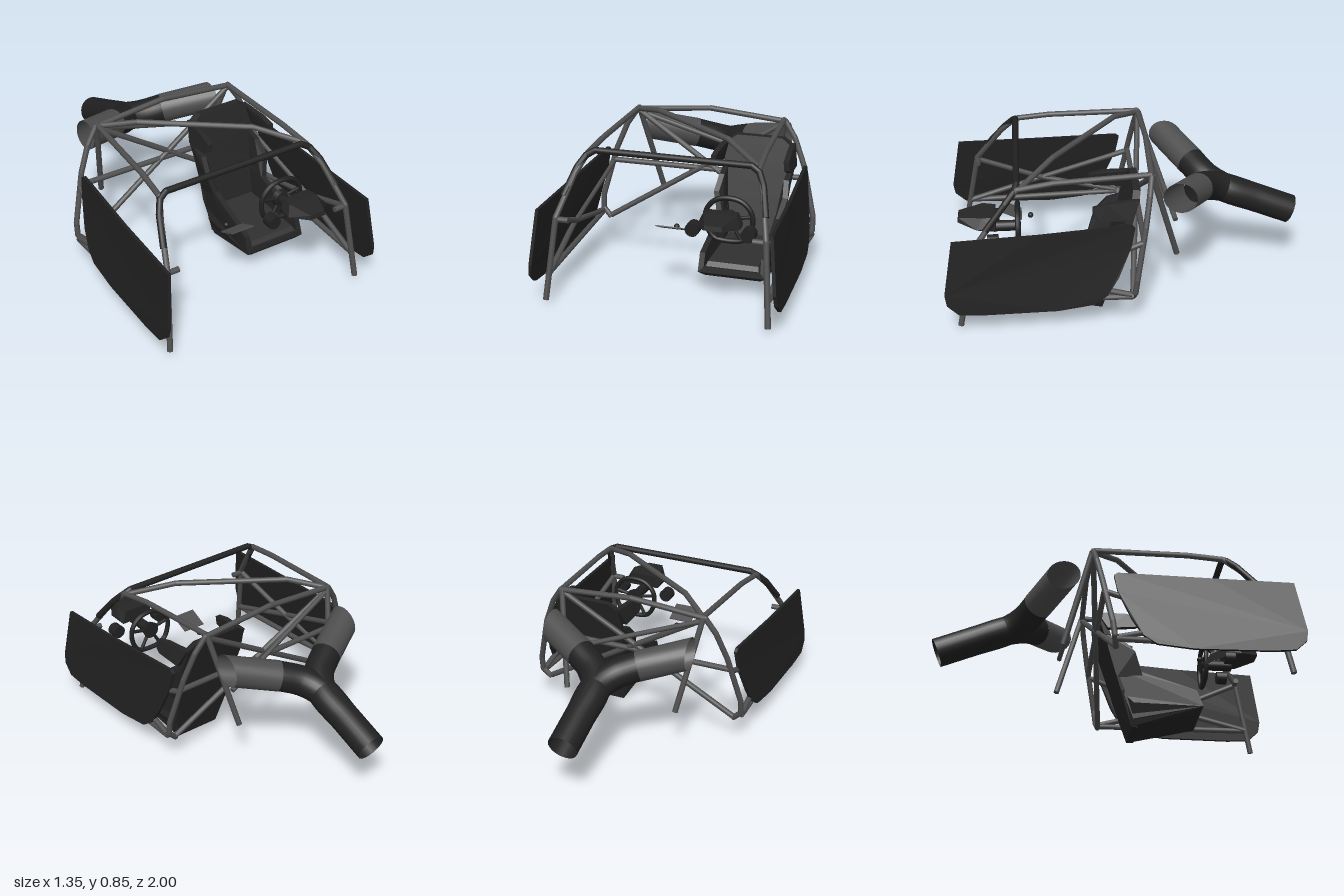
import * as THREE from 'three';
import { ConvexGeometry } from 'three/addons/geometries/ConvexGeometry.js';

const V = (x, y, z) => new THREE.Vector3(x, y, z);

function material(name, color, side = THREE.FrontSide, flatShading = false) {
  const m = new THREE.MeshStandardMaterial({ color, side, flatShading });
  m.name = name;
  return m;
}

export function createModel() {
  const steel = material('steel grey', 0x4e4e4e, THREE.DoubleSide);
  const black = material('black', 0x212121, THREE.DoubleSide);
  const shell = material('seat black', 0x252525, THREE.FrontSide, true);
  const cushionMat = material('cushion grey', 0x303030, THREE.FrontSide, true);
  const model = new THREE.Group();
  model.name = 'raceCarInterior';

  function add(name, geometry, mat, parent = model) {
    const mesh = new THREE.Mesh(geometry, mat);
    mesh.name = name;
    parent.add(mesh);
    return mesh;
  }

  // Straight tube runs with rounded joints
  function bar(name, pts, mat = steel, r = 0.016, parent = model) {
    const g = new THREE.Group();
    g.name = name;
    parent.add(g);
    pts = pts.map((p) => V(...p));
    for (let i = 0; i < pts.length - 1; i++) {
      const d = pts[i + 1].clone().sub(pts[i]);
      const m = add('tube', new THREE.CylinderGeometry(r, r, d.length(), 12), mat, g);
      m.position.copy(pts[i]).addScaledVector(d, 0.5);
      m.quaternion.setFromUnitVectors(V(0, 1, 0), d.normalize());
      if (i > 0) add('joint', new THREE.SphereGeometry(r, 12, 8), mat, g).position.copy(pts[i]);
    }
    return g;
  }
  const mirrorX = (pts) => pts.map(([x, y, z]) => [-x, y, z]);

  // Main hoop with its cross braces
  const hoopSide = [[0.58, 0.15, -0.01], [0.63, 0.2, -0.02], [0.63, 0.28, -0.03],
    [0.56, 0.56, -0.08], [0.5, 0.71, -0.105], [0.44, 0.8, -0.12]];
  bar('mainHoop', [...hoopSide, [0, 0.837, -0.128], ...mirrorX(hoopSide).reverse()]);
  bar('harnessBar', [[-0.57, 0.49, -0.07], [0.57, 0.49, -0.07]]);
  for (const s of [-1, 1]) bar('hoopDiagonal', [[s * 0.43, 0.79, -0.12], [-s * 0.58, 0.16, -0.01]]);
  bar('rearDiagonal', [[-0.42, 0.78, -0.125], [0.37, 0.5, -0.26]], steel, 0.014);
  bar('roofDiagonal', [[-0.43, 0.8, -0.12], [-0.26, 0.848, 0.03], [0.25, 0.842, 0.4], [0.46, 0.77, 0.58]]);

  // Roof rails, front pillars, door bars and rear stays, both sides
  for (const s of [-1, 1]) {
    const side = (pts) => pts.map(([x, y, z]) => [s * x, y, z]);
    bar('roofRail', side([[0.43, 0.808, -0.12], [0.455, 0.79, 0.4], [0.47, 0.765, 0.6],
      [0.515, 0.67, 0.69], [0.57, 0.47, 0.84], [0.608, 0.03, 0.925]]));
    bar('rearStay', side([[0.43, 0.8, -0.125], [0.335, 0.27, -0.275]]));
    bar('doorBar', side([[0.57, 0.46, 0.84], [0.615, 0.3, 0.45], [0.63, 0.19, 0]]));
    bar('doorBar', side([[0.595, 0.17, 0.9], [0.62, 0.3, 0.45], [0.58, 0.48, -0.07]]));
    bar('sillBar', side([[0.6, 0.17, 0.9], [0.63, 0.18, -0.01]]));
    bar('dashStub', side([[0.58, 0.46, 0.835], [0.5, 0.46, 0.835]]));
  }
  const frame = [[0.55, 0.57, 0.77], [0.51, 0.7, 0.665], [0.475, 0.755, 0.615], [0.43, 0.78, 0.6]];
  bar('windscreenBar', [...frame, ...mirrorX(frame).reverse()], black, 0.018);

  // Door panels: leaning, gently bowed plates
  const outline = [[0.95, 0.55], [0.5, 0.565], [0, 0.59], [-0.02, 0.575], [0, 0.47], [0.07, 0.3],
    [0.13, 0.2], [0.2, 0.15], [0.4, 0.125], [0.8, 0.125], [0.93, 0.135], [0.99, 0.19], [1, 0.25]];
  const doorShape = new THREE.Shape(outline.map(([z, y]) => new THREE.Vector2(-z, y)));
  let doorGeo = new THREE.ExtrudeGeometry(doorShape, { depth: 0.018, bevelEnabled: false });
  const dp = doorGeo.attributes.position;
  for (let i = 0; i < dp.count; i++) {
    const z = -dp.getX(i), y = dp.getY(i);
    const bow = 0.645 - 0.1 * (y - 0.13) + 0.03 * (z - 0.5) - (z < 0.05 ? 0.01 : 0);
    dp.setXYZ(i, bow + dp.getZ(i), y, z);
  }
  doorGeo.computeVertexNormals();
  add('leftDoorPanel', doorGeo, black);
  add('rightDoorPanel', doorGeo, black).scale.x = -1;

  // Y-shaped air duct; the arm ends are cut parallel to the side
  for (const s of [-1, 1]) {
    const path = new THREE.CatmullRomCurve3([V(0, 0.345, -0.97), V(0, 0.425, -0.77), V(0, 0.5, -0.58),
      V(s * 0.06, 0.545, -0.48), V(s * 0.18, 0.592, -0.405)]);
    add('ductStem', new THREE.TubeGeometry(path, 28, 0.083, 24), black);
    const a = V(s * 0.17, 0.588, -0.41), b = V(s * 0.42, 0.655, -0.28), dir = b.clone().sub(a).normalize();
    const geo = new THREE.TubeGeometry(new THREE.LineCurve3(a, b), 1, 0.085, 24);
    const p = geo.attributes.position, v = V(0, 0, 0);
    for (let i = p.count / 2; i < p.count; i++) {
      v.fromBufferAttribute(p, i);
      v.addScaledVector(dir, (s * 0.42 - v.x) / dir.x * 0.85);
      p.setXYZ(i, v.x, v.y, v.z);
    }
    geo.computeVertexNormals();
    add('ductArm', geo, steel);
  }

  // Bucket seat, modelled around its own centre line
  const seat = new THREE.Group();
  seat.name = 'bucketSeat';
  seat.position.x = 0.315;
  model.add(seat);
  const backZ = (y) => 0.15 - 0.292 * (y - 0.01);
  const hull = (name, pts, mat = shell) => add(name, new ConvexGeometry(pts.map((p) => V(...p))), mat, seat);
  const pair = (pts) => [...pts, ...mirrorX(pts)];
  hull('seatBase', pair([[0.135, 0.01, 0.15], [0.155, 0.11, 0.55], [0.188, 0.13, 0.565],
    [0.155, 0.16, 0.56], [0.165, 0.19, 0.12], [0.185, 0.14, 0.16]]));
  hull('seatCushion', pair([[0.15, 0.15, 0.555], [0.14, 0.185, 0.53], [0.13, 0.2, 0.14], [0.14, 0.15, 0.14]]), cushionMat);
  // Back in stacked tapering sections
  const rows = [[0.01, 0.135], [0.22, 0.175], [0.4, 0.18], [0.56, 0.205], [0.69, 0.195], [0.73, 0.14]];
  for (let i = 0; i < rows.length - 1; i++) {
    hull('seatBack', pair([rows[i], rows[i + 1]].flatMap(([y, w]) =>
      [[w, y, backZ(y)], [w - 0.01, y, backZ(y) + 0.04]])));
  }
  // Thigh, torso and head bolsters
  for (const s of [-1, 1]) {
    const bolster = (name, pts) => hull(name, pts.flatMap(([y, z, w]) => [[s * w, y, z], [s * (w - 0.03), y, z]]));
    bolster('thighBolster', [[0.13, 0.565, 0.188], [0.23, 0.53, 0.185], [0.34, 0.2, 0.175],
      [0.36, backZ(0.36), 0.175], [0.05, 0.16, 0.16]]);
    bolster('torsoBolster', [[0.3, backZ(0.3), 0.175], [0.3, 0.22, 0.175], [0.45, 0.17, 0.212],
      [0.53, 0.1, 0.2], [0.56, backZ(0.56), 0.2]]);
    bolster('headBolster', [[0.59, 0.01, 0.225], [0.6, 0.17, 0.23], [0.62, 0.2, 0.225],
      [0.67, 0.2, 0.22], [0.69, 0.12, 0.215], [0.7, backZ(0.7), 0.2]]);
  }

  // Steering wheel: flat-bottomed rim, spokes, hub and column
  const wheel = new THREE.Group();
  wheel.name = 'steeringWheel';
  wheel.position.set(0.31, 0.47, 0.6);
  model.add(wheel);
  const rim = new THREE.CatmullRomCurve3([[0, 0.118], [0.07, 0.103], [0.12, 0.05], [0.128, -0.02],
    [0.105, -0.085], [0.07, -0.115], [-0.07, -0.115], [-0.105, -0.085], [-0.128, -0.02],
    [-0.12, 0.05], [-0.07, 0.103]].map(([x, y]) => V(x, y, 0)), true);
  add('rim', new THREE.TubeGeometry(rim, 48, 0.014, 10, true), black, wheel);
  add('hub', new THREE.CylinderGeometry(0.042, 0.05, 0.03, 20).rotateX(Math.PI / 2), black, wheel);
  for (const [x, y] of [[0.122, 0.025], [-0.122, 0.025], [0.065, -0.112], [-0.065, -0.112]]) {
    bar('spoke', [[x * 0.25, y * 0.25, 0], [x, y, 0]], black, 0.01, wheel);
  }
  add('column', new THREE.CylinderGeometry(0.03, 0.03, 0.16, 16).rotateX(Math.PI / 2), black, wheel).position.z = 0.09;

  // Instrument shroud, tapering forward
  hull('instrumentShroud', pair([[0.1, 0.49, 0.72], [0.112, 0.52, 0.75], [0.08, 0.565, 0.72],
    [0.115, 0.51, 0.82], [0.09, 0.57, 0.79], [0.05, 0.53, 0.925], [0.045, 0.555, 0.92]]));
  // Round pods either side of the wheel
  for (const x of [0.155, 0.455]) {
    add('pod', new THREE.CylinderGeometry(0.038, 0.038, 0.06, 20).rotateX(Math.PI / 2), black).position.set(x, 0.455, 0.735);
  }

  // Centre switch plate and shifter knob
  const plate = add('switchPlate', new THREE.BoxGeometry(0.14, 0.006, 0.12), steel);
  plate.position.set(0, 0.4, 0.635);
  plate.rotation.x = -0.45;
  add('shifterKnob', new THREE.SphereGeometry(0.016, 14, 10), black).position.set(0, 0.365, 0.53);

  return model;
}
